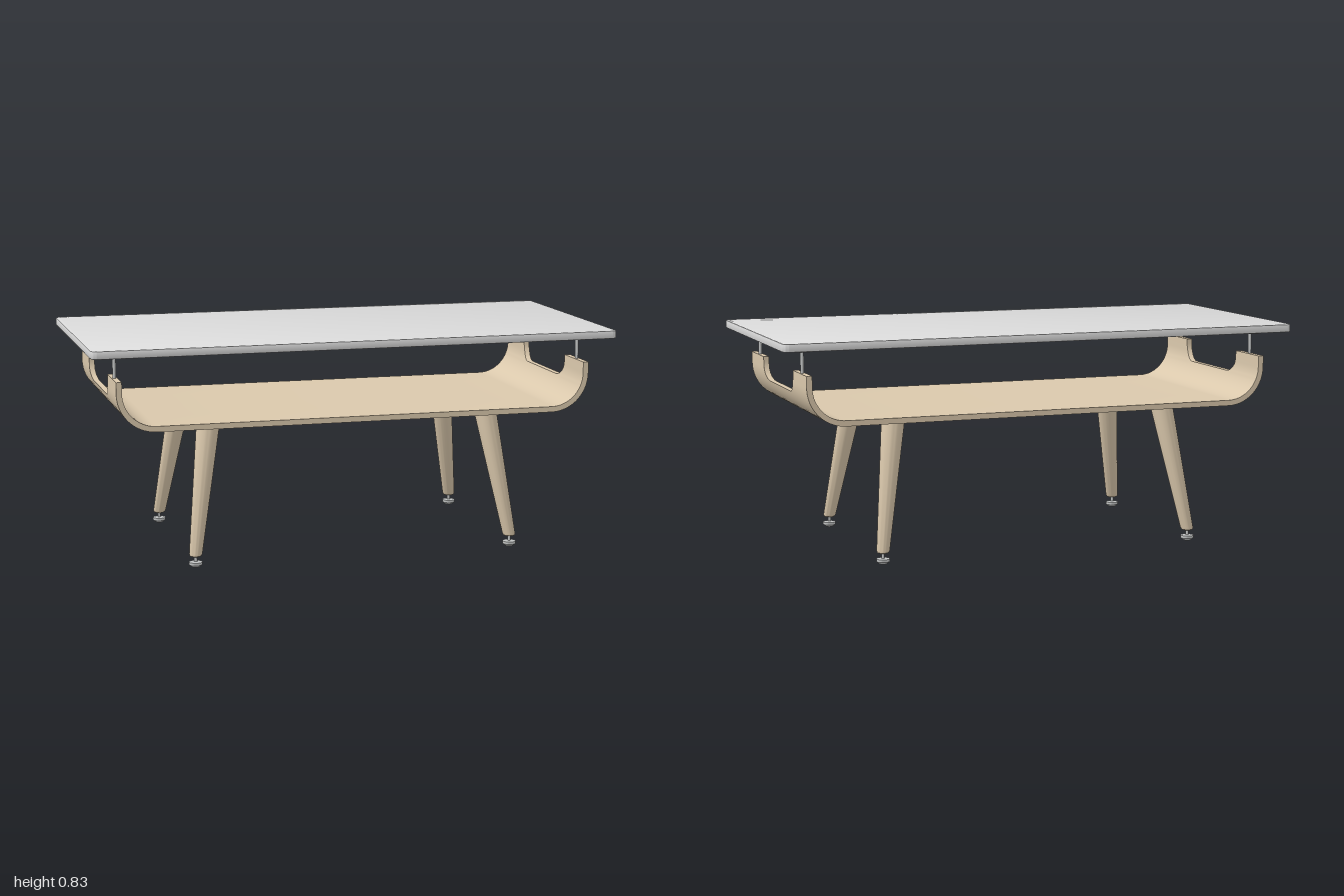
import * as THREE from 'three';
import { toCreasedNormals } from 'three/addons/utils/BufferGeometryUtils.js';

const wood = new THREE.MeshStandardMaterial({ color: 0xdac8ac });
wood.name = 'pale wood';
const stone = new THREE.MeshStandardMaterial({ color: 0xdadada });
stone.name = 'light grey top';
const metal = new THREE.MeshStandardMaterial({ color: 0xc0c2c2 });
metal.name = 'brushed metal';

function part(name, geometry, material, x = 0, y = 0, z = 0) {
  const mesh = new THREE.Mesh(geometry, material);
  mesh.name = name;
  mesh.position.set(x, y, z);
  return mesh;
}

function lathe(points, segments = 32) {
  const g = new THREE.LatheGeometry(points.map(p => new THREE.Vector2(...p)), segments);
  return toCreasedNormals(g, 0.6);
}

// Table top: rounded rectangle with a fine bevel
function topGeometry() {
  const b = 0.004, w = 1 - b, d = 0.467 - b, r = 0.02;
  const s = new THREE.Shape();
  s.moveTo(-w + r, -d);
  s.lineTo(w - r, -d);
  s.absarc(w - r, -d + r, r, -Math.PI / 2, 0);
  s.absarc(w - r, d - r, r, 0, Math.PI / 2);
  s.absarc(-w + r, d - r, r, Math.PI / 2, Math.PI);
  s.absarc(-w + r, -d + r, r, Math.PI, Math.PI * 1.5);
  const g = new THREE.ExtrudeGeometry(s, {
    depth: 0.03 - 2 * b, bevelEnabled: true, bevelSize: b, bevelThickness: b, bevelSegments: 2, curveSegments: 8,
  });
  g.rotateX(-Math.PI / 2).translate(0, 0.803 + b, 0);
  return toCreasedNormals(g, 0.6);
}

// Bent tray: U cross-sections along z, cut off at a height that dips in the middle
function trayGeometry() {
  const R = 0.145, thick = 0.021, base = 0.523, cy = base + R, cx = 0.905 - R;
  const rim = 0.71, low = 0.625, fillet = 0.067, cutZ = 0.222, N = 20;
  const half = (radius, h) => {
    const limit = h < cy ? Math.acos((cy - h) / radius) : Math.PI / 2;
    const pts = [];
    for (let i = 0; i <= N; i++) {
      const a = Math.min((i / N) * Math.PI / 2, limit);
      pts.push([cx + radius * Math.sin(a), cy - radius * Math.cos(a)]);
    }
    pts.push([pts[N][0], h]);
    return pts;
  };
  const full = (radius, h) => {
    const right = half(radius, h);
    return [...right.map(([x, y]) => [-x, y]).reverse(), ...right];
  };
  // Slices [z, rim height] from back to front
  const back = [[-0.415, rim], [-cutZ, rim]];
  for (let i = 0; i <= 12; i++) {
    const a = (i / 12) * Math.PI / 2;
    back.push([-cutZ + fillet * (1 - Math.cos(a)), low + fillet * (1 - Math.sin(a))]);
  }
  const slices = [...back, ...back.map(([z, h]) => [-z, h]).reverse()];

  const pos = [], index = [];
  let M = 0;
  for (const [z, h] of slices) {
    const ring = [...full(R, h), ...full(R - thick, h).reverse()];
    M = ring.length;
    for (const [x, y] of ring) pos.push(x, y, z);
  }
  const quad = (a, b, c, d) => index.push(a, b, c, a, c, d);
  for (let s = 0; s < slices.length - 1; s++) {
    for (let i = 0; i < M; i++) {
      const j = (i + 1) % M, p = s * M, q = p + M;
      quad(p + i, p + j, q + j, q + i);
    }
  }
  // End faces between the outer and inner curves
  const last = (slices.length - 1) * M;
  for (let i = 0; i < M / 2 - 1; i++) {
    const o = M - 1 - i;
    quad(last + i, last + i + 1, last + o - 1, last + o);
    quad(o, o - 1, i + 1, i);
  }
  const g = new THREE.BufferGeometry();
  g.setAttribute('position', new THREE.Float32BufferAttribute(pos, 3));
  g.setIndex(index);
  return toCreasedNormals(g, 0.6);
}

// Tapered leg, sheared so that both ends stay level
function legGeometry(sx, sz) {
  const g = new THREE.LatheGeometry([
    [0, 0.04], [0.017, 0.04], [0.022, 0.043], [0.0245, 0.05], [0.044, 0.527], [0, 0.527],
  ].map(p => new THREE.Vector2(...p)), 32);
  const p = g.attributes.position;
  for (let i = 0; i < p.count; i++) {
    const t = (p.getY(i) - 0.04) / 0.483;
    p.setX(i, p.getX(i) + sx * THREE.MathUtils.lerp(0.614, 0.541, t));
    p.setZ(i, p.getZ(i) + sz * THREE.MathUtils.lerp(0.368, 0.271, t));
  }
  return toCreasedNormals(g, 0.6);
}

export function createModel() {
  const model = new THREE.Group();
  model.name = 'coffeeTable';
  model.add(part('tableTop', topGeometry(), stone));
  model.add(part('bentTray', trayGeometry(), wood));

  const foot = lathe([[0, 0], [0.014, 0], [0.025, 0.009], [0.025, 0.019], [0.006, 0.021], [0.006, 0.042]]);
  const support = lathe([[0.0065, 0.70], [0.0065, 0.788], [0.038, 0.788], [0.04, 0.79], [0.04, 0.804], [0, 0.804]]);

  for (const sx of [-1, 1]) {
    for (const sz of [-1, 1]) {
      const corner = (sz > 0 ? 'front' : 'back') + (sx > 0 ? 'Left' : 'Right');
      model.add(part(corner + 'Leg', legGeometry(sx, sz), wood));
      model.add(part(corner + 'Foot', foot, metal, sx * 0.614, 0, sz * 0.368));
      model.add(part(corner + 'TopSupport', support, metal, sx * 0.895, 0, sz * 0.318));
    }
  }
  return model;
}
